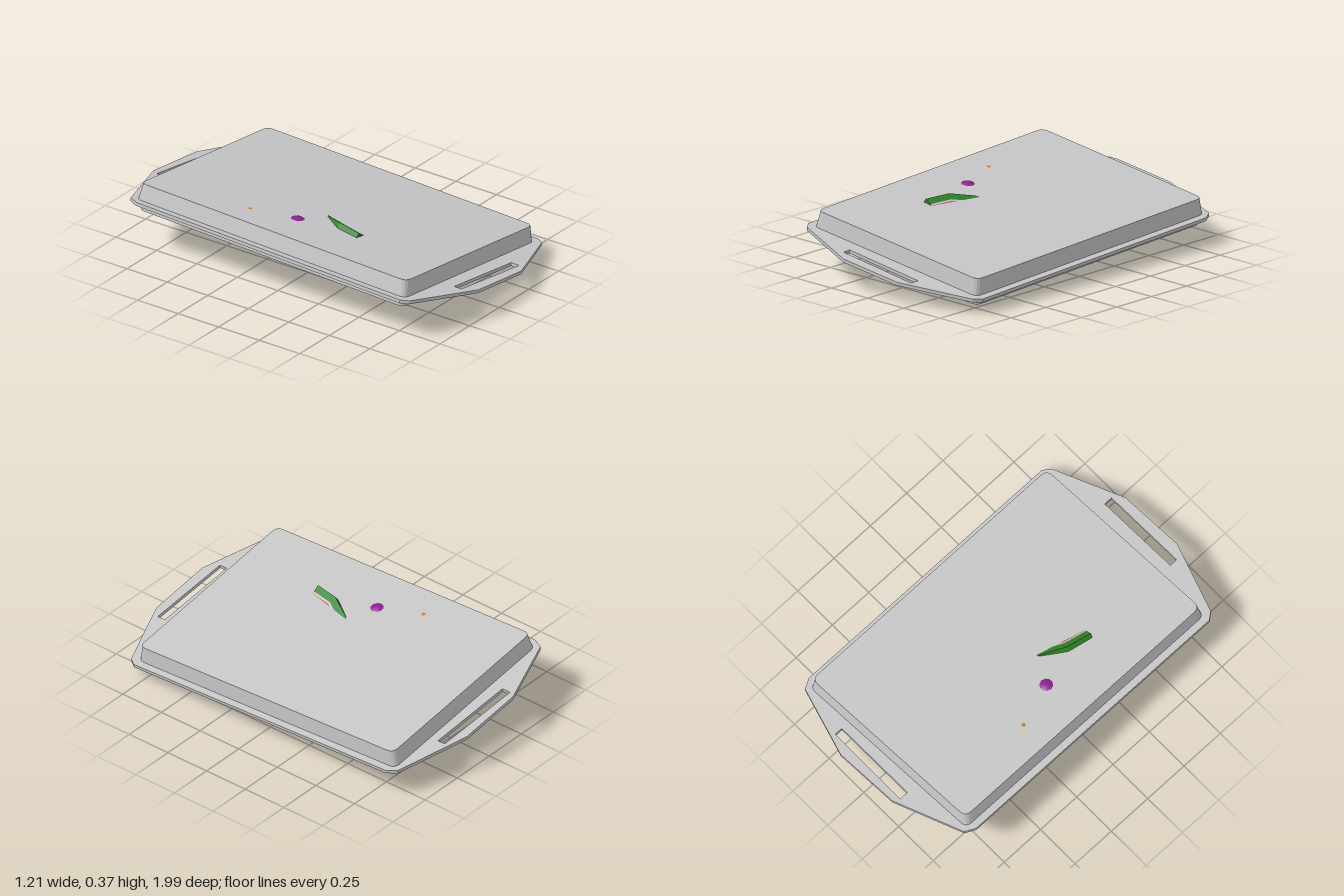
import * as THREE from 'three';

const mat = (name, color, extra = {}) => {
  const m = new THREE.MeshStandardMaterial({ color, ...extra });
  m.name = name;
  return m;
};

// Rounded rectangle outline
function roundedRect(hx, hz, r, Type = THREE.Shape) {
  const s = new Type();
  s.moveTo(-hx + r, -hz);
  s.lineTo(hx - r, -hz); s.quadraticCurveTo(hx, -hz, hx, -hz + r);
  s.lineTo(hx, hz - r); s.quadraticCurveTo(hx, hz, hx - r, hz);
  s.lineTo(-hx + r, hz); s.quadraticCurveTo(-hx, hz, -hx, hz - r);
  s.lineTo(-hx, -hz + r); s.quadraticCurveTo(-hx, -hz, -hx + r, -hz);
  return s;
}
const poly = (pts, Type = THREE.Shape) => new Type(pts.map(p => new THREE.Vector2(...p)));
const rect = (x0, x1, z0, z1) => poly([[x0, z0], [x1, z0], [x1, z1], [x0, z1]], THREE.Path);

export function createModel() {
  const root = new THREE.Group();
  root.name = 'upturnedLunchTray';
  const D = { side: THREE.DoubleSide };
  const grey = mat('trayGrey', 0xc6c6c8, D);
  const red = mat('fleshRed', 0xca5557);
  const rindGreen = mat('rindGreen', 0x2f8428);
  const leafGreen = mat('leafGreen', 0x188a38, D);
  const podGreen = mat('podGreen', 0x3f9a38);
  const blue = mat('berryBlue', 0x2480c2);
  const purple = mat('grapePurple', 0x8e1e90);
  const orange = mat('chunkOrange', 0xcb7808);
  const brown = mat('chunkBrown', 0xa8481e);

  const add = (parent, name, geo, material, x = 0, y = 0, z = 0) => {
    const m = new THREE.Mesh(geo, material);
    m.name = name;
    m.position.set(x, y, z);
    parent.add(m);
    return m;
  };

  // Tray lies upside down and slightly tilted
  const tray = new THREE.Group();
  tray.name = 'tray';
  tray.position.y = 0.18;
  tray.rotation.set(0.042, 0.008, -0.124);
  root.add(tray);

  // Flat horizontal slab whose top is at the given height
  const slab = (name, shape, top, depth, z = 0, taper = 0) => {
    const geo = new THREE.ExtrudeGeometry(shape, { depth, bevelEnabled: false, curveSegments: 4 });
    geo.rotateX(Math.PI / 2);
    if (taper) {
      const p = geo.attributes.position;
      for (let i = 0; i < p.count; i++) {
        if (p.getY(i) > -depth / 2) {
          p.setX(i, p.getX(i) - Math.sign(p.getX(i)) * taper);
          p.setZ(i, p.getZ(i) - Math.sign(p.getZ(i)) * taper);
        }
      }
      geo.computeVertexNormals();
    }
    return add(tray, name, geo, grey, 0, top, z);
  };

  // Flange with a slotted handle at each end
  const flange = poly([[-0.6, -0.81], [-0.57, -0.865], [-0.19, -0.995], [0.18, -0.995], [0.57, -0.865], [0.6, -0.81],
    [0.6, 0.81], [0.57, 0.85], [0.19, 0.995], [-0.18, 0.995], [-0.57, 0.85], [-0.6, 0.81]]);
  flange.holes.push(roundedRect(0.53, 0.79, 0.04, THREE.Path));
  flange.holes.push(poly([[-0.21, -0.96], [0.28, -0.935], [0.28, -0.89], [-0.21, -0.91]], THREE.Path));
  flange.holes.push(poly([[-0.24, 0.888], [0.24, 0.898], [0.24, 0.945], [-0.24, 0.932]], THREE.Path));
  slab('flange', flange, 0.006, 0.018);

  // Body wall, base and lip around the opening
  const wall = roundedRect(0.562, 0.828, 0.04);
  wall.holes.push(roundedRect(0.545, 0.81, 0.04, THREE.Path));
  slab('bodyWall', wall, 0.088, 0.09, -0.014, 0.013);
  slab('base', roundedRect(0.549, 0.815, 0.04), 0.092, 0.008, -0.014);
  const lip = roundedRect(0.55, 0.813, 0.04);
  lip.holes.push(roundedRect(0.52, 0.783, 0.03, THREE.Path));
  slab('lip', lip, 0, 0.05, -0.014);

  // Compartments: divider plate with tapered pockets
  const pockets = [
    [0.03, 0.49, -0.77, -0.2], [0.03, 0.49, -0.15, 0.26], [0.1, 0.49, 0.32, 0.75],
    [-0.49, -0.03, -0.77, 0.26], [-0.49, 0.04, 0.32, 0.75]];
  const plate = roundedRect(0.53, 0.79, 0.03);
  pockets.forEach(p => plate.holes.push(rect(...p)));
  slab('dividers', plate, -0.022, 0.012);
  for (const [x0, x1, z0, z1] of pockets) {
    const w = x1 - x0, d = z1 - z0, H = 0.11;
    const g = new THREE.BoxGeometry(w, H, d).toNonIndexed();
    const p = g.attributes.position;
    for (let i = 0; i < p.count; i++) {
      if (p.getY(i) > 0) {
        p.setX(i, p.getX(i) - Math.sign(p.getX(i)) * 0.05);
        p.setZ(i, p.getZ(i) - Math.sign(p.getZ(i)) * 0.05);
      }
    }
    // leave out the open underside
    const open = new THREE.BufferGeometry();
    const a = Array.from(p.array);
    open.setAttribute('position', new THREE.Float32BufferAttribute([...a.slice(0, 54), ...a.slice(72)], 3));
    open.computeVertexNormals();
    add(tray, 'pocket', open, grey, (x0 + x1) / 2, -0.028 + H / 2, (z0 + z1) / 2);
  }

  // Round fruit: [x, height, z, radius]
  const ball = new THREE.SphereGeometry(1, 10, 7);
  const balls = (name, material, list) => list.forEach(([x, y, z, r]) =>
    add(tray, name, ball, material, x, y, z).scale.setScalar(r));
  balls('blueberry', blue, [[-0.08, -0.03, -0.13, 0.068], [-0.2, -0.02, 0.01, 0.07], [-0.3, -0.015, 0.09, 0.07],
    [-0.4, -0.005, 0.19, 0.07], [-0.27, -0.015, 0.2, 0.07], [-0.16, 0, 0.14, 0.06], [-0.38, 0.01, 0.06, 0.07]]);
  balls('grape', purple, [[-0.28, -0.005, -0.23, 0.09], [-0.38, -0.005, -0.06, 0.082], [-0.16, -0.015, -0.22, 0.07],
    [-0.31, 0.03, -0.035, 0.072], [-0.27, -0.015, -0.11, 0.07]]);
  balls('smallTomato', red, [[-0.42, -0.01, -0.2, 0.075], [-0.43, 0.0, -0.1, 0.06]]);
  balls('orangeBall', orange, [[-0.42, -0.02, -0.41, 0.06], [-0.39, 0.0325, -0.27, 0.062]]);
  balls('brownBall', brown, [[-0.2, -0.015, -0.33, 0.068], [-0.3, -0.01, -0.34, 0.065]]);

  // Lumpy chunks, narrow at one end: [x, height, z, half length, half thickness, turn]
  const lump = new THREE.SphereGeometry(1, 8, 6);
  const lp = lump.attributes.position;
  for (let i = 0; i < lp.count; i++) {
    const k = 1 - 0.3 * lp.getX(i);
    lp.setY(i, lp.getY(i) * k);
    lp.setZ(i, lp.getZ(i) * k);
  }
  lump.computeVertexNormals();
  const chunks = (name, material, list) => list.forEach(([x, y, z, l, t, a]) => {
    const m = add(tray, name, lump, material, x, y, z);
    m.scale.set(l, t, t);
    m.rotation.set(0, a, 0.3 * Math.sin(a * 3));
  });
  chunks('orangeChunk', orange, [[0.41, -0.015, -0.27, 0.11, 0.062, 0.4], [0.32, -0.02, -0.36, 0.11, 0.068, 1.3],
    [0.25, -0.045, -0.45, 0.1, 0.06, 2.1], [0.38, -0.01, -0.47, 0.11, 0.062, 0.8], [0.27, -0.015, -0.57, 0.12, 0.062, 1.7],
    [0.18, -0.02, -0.71, 0.09, 0.055, 0.2], [0.4, 0, -0.63, 0.11, 0.06, 2.6], [0.31, 0, -0.7, 0.09, 0.055, 0.5],
    [0.23, -0.055, -0.04, 0.06, 0.055, 1.3], [0.14, -0.025, 0.07, 0.11, 0.05, 1.0], [0.31, -0.015, -0.08, 0.11, 0.05, 2.2],
    [0.12, -0.01, -0.08, 0.09, 0.05, 1.6]]);
  chunks('brownChunk', brown, [[0.42, -0.045, 0.09, 0.08, 0.05, 1.2], [0.33, -0.02, 0.18, 0.12, 0.052, 0.3],
    [0.38, -0.015, 0.02, 0.1, 0.05, 2.3], [0.27, -0.01, 0.12, 0.09, 0.05, 1.4], [0.21, -0.03, 0.22, 0.09, 0.045, 0.5],
    [0.15, -0.025, -0.5, 0.12, 0.058, 1.5], [0.09, -0.025, -0.64, 0.1, 0.058, 0.9]]);
  chunks('greenPod', podGreen, [[0.11, -0.04, -0.28, 0.095, 0.06, 0.9]]);

  // Crumpled salad leaves
  for (let k = 0; k < 5; k++) {
    const g = new THREE.PlaneGeometry(0.28, 0.36, 5, 6).rotateX(-Math.PI / 2);
    const p = g.attributes.position;
    for (let i = 0; i < p.count; i++) {
      const x = p.getX(i), z = p.getZ(i);
      const f = 1 - 2.6 * z * z - 2 * x * x;
      p.setXYZ(i, x * f, 0.018 * Math.sin(x * 31 + z * 17 + k * 2) - 0.1 * z * z, z * f);
    }
    g.computeVertexNormals();
    const leaf = add(tray, 'saladLeaf', g, leafGreen, -0.22 + 0.05 * Math.sin(k * 2.4), -0.06 + 0.02 * k, -0.54 + 0.05 * Math.cos(k * 2.4));
    leaf.rotation.y = k * 0.7 + 0.3;
  }

  // Curved green stems
  const stem = (name, pts, r) => add(root, name,
    new THREE.TubeGeometry(new THREE.CatmullRomCurve3(pts.map(p => new THREE.Vector3(...p))), 6, r, 5), leafGreen);
  stem('saladStem', [[-0.1, 0.13, -0.2], [-0.08, 0.08, -0.25], [-0.08, 0.03, -0.3]], 0.012);
  stem('saladStem', [[-0.18, 0.14, -0.2], [-0.12, 0.1, -0.24], [-0.06, 0.09, -0.26]], 0.01);

  // Tomato with its stalk pointing down
  add(root, 'tomato', new THREE.SphereGeometry(1, 12, 8), red, -0.137, 0.122, 0.53).scale.set(0.105, 0.06, 0.1);
  stem('tomatoStalk', [[-0.15, 0.062, 0.5], [-0.138, 0.045, 0.515], [-0.142, 0.017, 0.53]], 0.007);
  stem('tomatoStalk', [[-0.1, 0.06, 0.5], [-0.09, 0.045, 0.515], [-0.085, 0.022, 0.525]], 0.009);
  stem('tomatoStalk', [[-0.17, 0.056, 0.48], [-0.125, 0.05, 0.51], [-0.08, 0.045, 0.49]], 0.007);
  stem('tomatoStalk', [[-0.13, 0.055, 0.44], [-0.12, 0.052, 0.5], [-0.13, 0.055, 0.56]], 0.007);

  // Melon slice: a sector, tip down, rind pushed through the base
  const tip = new THREE.Vector3(0.068, 0.09, 0.31);
  const u = new THREE.Vector3(-0.25, 0.312, 0.32).sub(tip).normalize();
  const w = u.clone().cross(new THREE.Vector3(-0.145, 0.292, 0.04).sub(tip)).normalize();
  const slice = new THREE.Group();
  slice.name = 'melonSlice';
  slice.quaternion.setFromRotationMatrix(new THREE.Matrix4().makeBasis(u, w.clone().cross(u), w));
  slice.position.copy(tip);
  root.add(slice);
  const band = (name, r0, r1, material) => {
    const at = (r, i) => [r * Math.cos(i * 0.36), r * Math.sin(i * 0.36)];
    const steps = [0, 1, 2, 3];
    const inner = r0 ? steps.map(i => at(r0, 3 - i)) : [[0, 0]];
    const shape = poly([...steps.map(i => at(r1, i)), ...inner]);
    add(slice, name, new THREE.ExtrudeGeometry(shape, { depth: 0.112, bevelEnabled: false }), material);
  };
  band('flesh', 0, 0.345, red);
  band('paleRind', 0.345, 0.355, grey);
  band('rind', 0.355, 0.393, rindGreen);

  return root;
}
